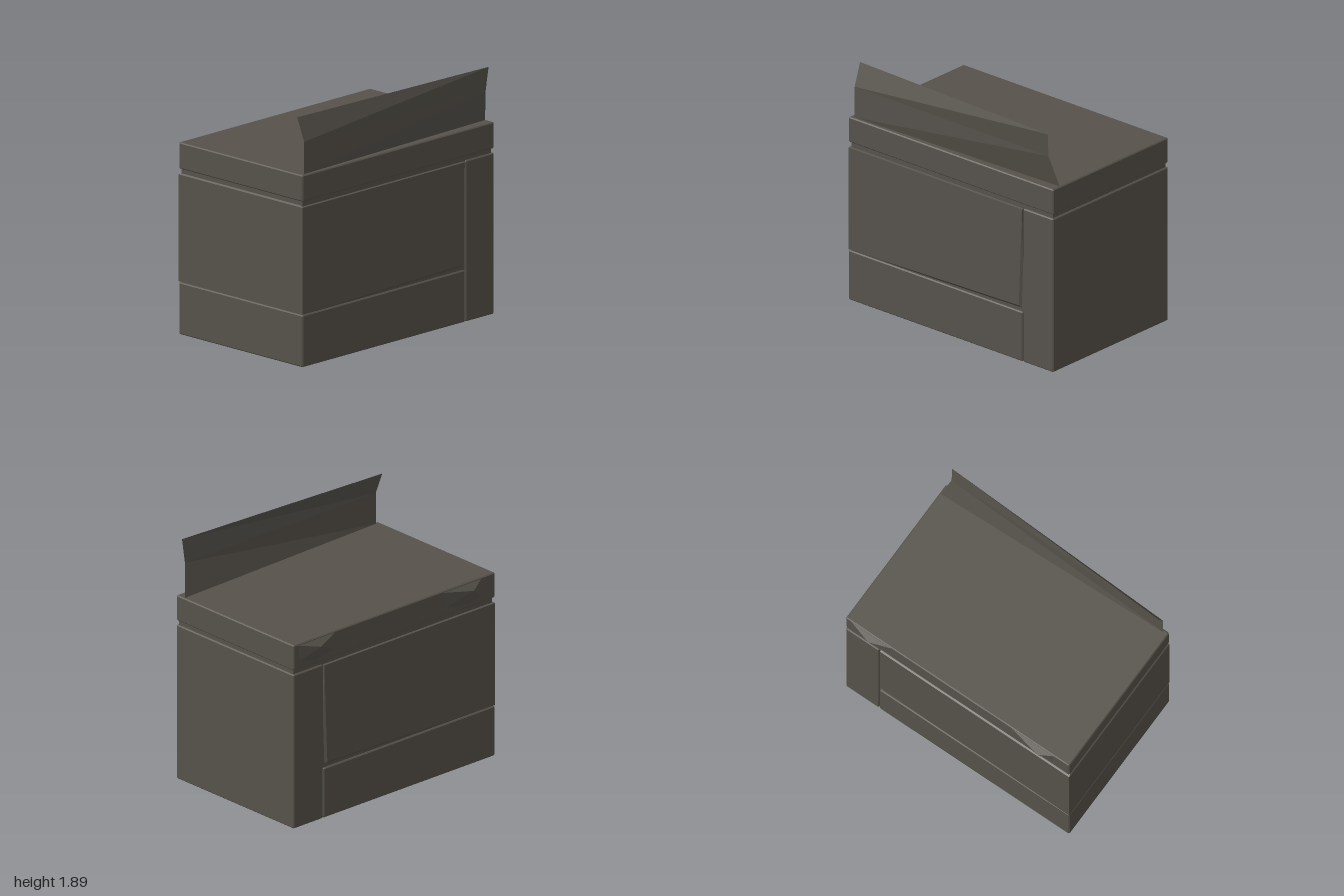
import * as THREE from 'three';
import { ConvexGeometry } from 'three/addons/geometries/ConvexGeometry.js';

const V = (x, y, z) => new THREE.Vector3(x, y, z);

// Box between two corners with chamfered edges
function chamferedBlock(x0, x1, y0, y1, z0, z1, c) {
  const points = [];
  for (const [x, sx] of [[x0, 1], [x1, -1]])
    for (const [y, sy] of [[y0, 1], [y1, -1]])
      for (const [z, sz] of [[z0, 1], [z1, -1]])
        points.push(
          V(x, y + sy * c, z + sz * c),
          V(x + sx * c, y, z + sz * c),
          V(x + sx * c, y + sy * c, z)
        );
  return new ConvexGeometry(points);
}

export function createModel() {
  const group = new THREE.Group();
  const steel = new THREE.MeshStandardMaterial({ color: 0x56524b, flatShading: true, side: THREE.DoubleSide });
  steel.name = 'darkGrey';
  const add = (name, geometry) => {
    const mesh = new THREE.Mesh(geometry, steel);
    mesh.name = name;
    group.add(mesh);
    return mesh;
  };

  // Inner core seen at the bottom of the seams
  const core = add('core', new THREE.BoxGeometry(1.97, 1.42, 1.24));
  core.position.set(0, 0.73, 0.023);

  // Cabinet blocks separated by narrow seams
  add('plinth', chamferedBlock(-1, 0.7, 0, 0.395, -0.612, 0.658, 0.008));
  add('sideColumn', chamferedBlock(0.705, 1, 0, 1.225, -0.612, 0.658, 0.008));
  add('worktop', chamferedBlock(-1, 1, 1.26, 1.46, -0.612, 0.658, 0.008));

  // Main panel block, its lower and right front edges cut on a slant
  const panel = [];
  for (const [z, s] of [[0.658, 1], [-0.612, -1]])
    panel.push(
      V(-1, 0.402, z), V(0.665, 0.44, z), V(0.695, 1.215, z), V(-1, 1.215, z),
      V(-0.99, 0.398, z - s * 0.03), V(0.697, 0.405, z - s * 0.03),
      V(0.698, 1.225, z - s * 0.03), V(-0.99, 1.225, z - s * 0.03)
    );
  add('mainPanel', new ConvexGeometry(panel));

  // Two faceted brackets on the rear edge of the worktop
  for (const [name, x0, xp, x1] of [
    ['rightBracket', -0.88, -0.75, -0.44],
    ['leftBracket', 0.56, 0.77, 0.98],
  ])
    add(name, new ConvexGeometry([
      V(x0, 1.455, -0.605), V(x1, 1.455, -0.605), V(xp, 1.4, -0.657),
      V(xp, 1.25, -0.6), V(x0, 1.3, -0.6), V(x1, 1.3, -0.6), V(xp, 1.4, -0.58),
    ]));

  // Thin bent upstand sheet along the front edge
  const rows = [
    [V(-0.96, 1.46, 0.635), V(0.99, 1.46, 0.575)],
    [V(-0.96, 1.705, 0.635), V(0.935, 1.705, 0.635)],
    [V(-0.965, 1.88, 0.57), V(0.945, 1.89, 0.655)],
  ];
  const triangles = [];
  for (let i = 0; i < 2; i++) {
    const [a, b] = rows[i], [d, c] = rows[i + 1];
    triangles.push(a, b, c, a, c, d);
  }
  const sheet = new THREE.BufferGeometry().setFromPoints(triangles);
  sheet.computeVertexNormals();
  add('frontUpstand', sheet);

  return group;
}
